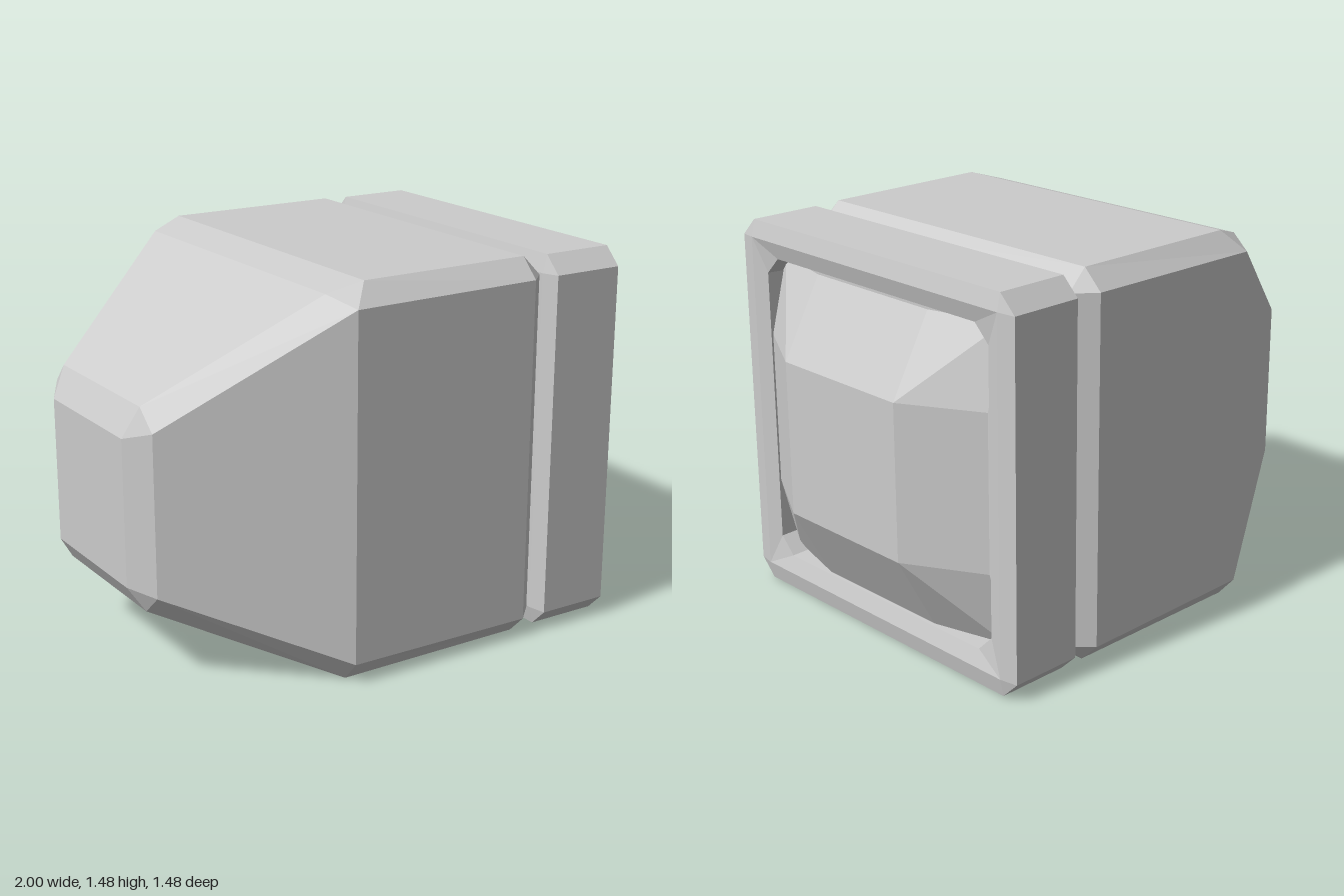
import * as THREE from 'three';

const grey = () => new THREE.MeshStandardMaterial({ color: 0xcccccc, flatShading: true });

// Eight-point bevelled cross-section; top/bottom = [x, y, halfWidth], side = [x, yTop, yBottom, halfWidth]
function ring(top, side, bottom) {
  const [tx, ty, tz] = top, [sx, s1, s0, sz] = side, [bx, by, bz] = bottom;
  return [
    [tx, ty, -tz], [tx, ty, tz], [sx, s1, sz], [sx, s0, sz],
    [bx, by, bz], [bx, by, -bz], [sx, s0, -sz], [sx, s1, -sz],
  ];
}

// Upright ring at one x, with corners cut by c
const plainRing = (x, y0, y1, z, c) =>
  ring([x, y1, z - c], [x, y1 - c, y0 + c, z], [x, y0, z - c]);

function meshFromTriangles(name, triangles) {
  const geometry = new THREE.BufferGeometry();
  geometry.setAttribute('position', new THREE.Float32BufferAttribute(triangles.flat(2), 3));
  geometry.computeVertexNormals();
  const mesh = new THREE.Mesh(geometry, grey());
  mesh.name = name;
  return mesh;
}

// Skin consecutive rings and cap both ends
function loft(name, rings) {
  const triangles = [];
  const add = (a, b, c) => {
    const same = (p, q) => p.every((v, i) => Math.abs(v - q[i]) < 1e-6);
    if (!same(a, b) && !same(b, c) && !same(a, c)) triangles.push([a, b, c]);
  };
  for (let i = 0; i < rings.length - 1; i++) {
    const a = rings[i], b = rings[i + 1];
    for (let j = 0; j < 8; j++) {
      const k = (j + 1) % 8;
      add(a[j], a[k], b[k]);
      add(a[j], b[k], b[j]);
    }
  }
  const first = rings[0], last = rings[rings.length - 1];
  for (let j = 1; j < 7; j++) {
    add(first[0], first[j + 1], first[j]);
    add(last[0], last[j], last[j + 1]);
  }
  return meshFromTriangles(name, triangles);
}

// Faceted bulging screen: a flat centre with sloping borders
function bulgedScreen() {
  const ys = [0.15, 0.445, 1.04, 1.335], zs = [-0.595, -0.3, 0.3, 0.595];
  const depth = [1, 0.838, 0.76]; // centre, edge, corner
  const outer = (i) => (i === 0 || i === 3 ? 1 : 0);
  const point = (i, j) => [depth[outer(i) + outer(j)], ys[i], zs[j]];
  const triangles = [];
  for (let i = 0; i < 3; i++) {
    for (let j = 0; j < 3; j++) {
      const a = point(i, j), b = point(i + 1, j), c = point(i + 1, j + 1), d = point(i, j + 1);
      // Split corner facets along the diagonal towards the centre
      if ((i === 0 && j === 2) || (i === 2 && j === 0)) triangles.push([a, b, d], [b, c, d]);
      else triangles.push([a, b, c], [a, c, d]);
    }
  }
  return meshFromTriangles('screen', triangles);
}

export function createModel() {
  const model = new THREE.Group();
  model.name = 'monitor';

  // Housing, tapering to a small back panel
  model.add(loft('housing', [
    plainRing(-1, 0.375, 0.935, 0.28, 0),
    ring([-0.94, 1.05, 0.31], [-0.935, 0.97, 0.355, 0.39], [-0.94, 0.28, 0.31]),
    ring([-0.38, 1.44, 0.625], [-0.32, 1.4, 0.08, 0.738], [-0.32, 0, 0.667]),
    ring([-0.25, 1.48, 0.667], [-0.32, 1.4, 0.08, 0.738], [-0.32, 0, 0.667]),
    plainRing(0.45, 0, 1.48, 0.738, 0.075),
    plainRing(0.527, 0.078, 1.402, 0.664, 0),
  ]));

  // Front frame with an inward-sloping lip and a recess
  model.add(loft('frontFrame', [
    plainRing(0.54, 0.075, 1.405, 0.667, 0),
    plainRing(0.557, 0.005, 1.475, 0.735, 0.068),
    plainRing(0.845, 0.005, 1.475, 0.735, 0.068),
    plainRing(0.86, 0.075, 1.41, 0.667, 0),
    plainRing(0.84, 0.14, 1.345, 0.603, 0.065),
    plainRing(0.74, 0.145, 1.34, 0.598, 0.065),
  ]));

  model.add(bulgedScreen());
  return model;
}
